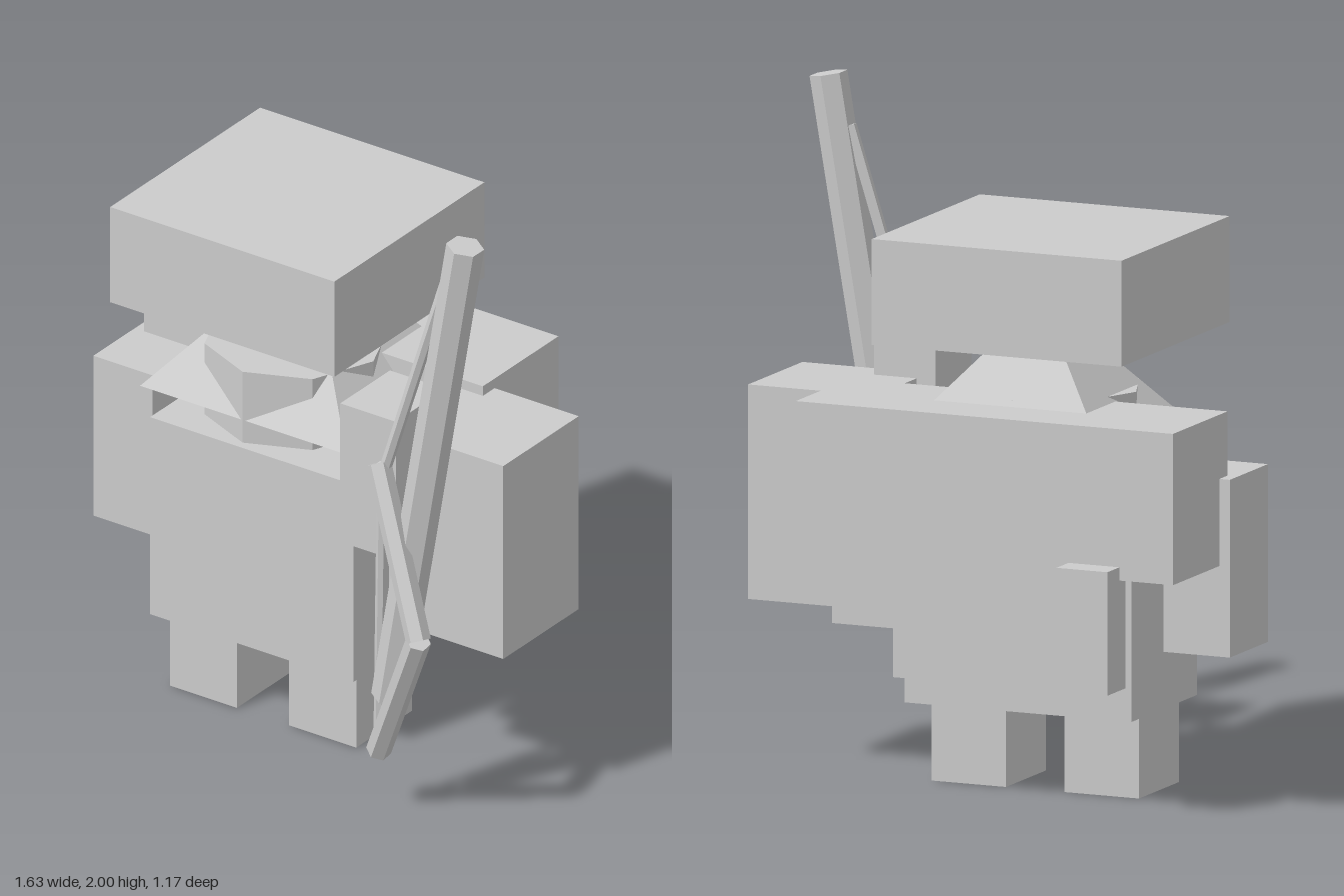
import * as THREE from 'three';

export function createModel() {
  const model = new THREE.Group();
  const stone = new THREE.MeshStandardMaterial({ color: 0xcccccc });
  stone.name = 'plain grey';

  const add = (name, geometry) => {
    const mesh = new THREE.Mesh(geometry, stone);
    mesh.name = name;
    model.add(mesh);
    return mesh;
  };

  // Block given by its lower and upper limits on each axis
  const block = (name, [x0, x1], [y0, y1], [z0, z1]) =>
    add(name, new THREE.BoxGeometry(x1 - x0, y1 - y0, z1 - z0))
      .position.set((x0 + x1) / 2, (y0 + y1) / 2, (z0 + z1) / 2);

  // Faceted rod between two points
  const rod = (name, from, to, radius, sides = 6) => {
    const a = new THREE.Vector3(...from), b = new THREE.Vector3(...to);
    const dir = b.clone().sub(a);
    const mesh = add(name, new THREE.CylinderGeometry(radius, radius, dir.length(), sides).toNonIndexed());
    mesh.geometry.computeVertexNormals();
    mesh.position.copy(a).add(b).multiplyScalar(0.5);
    mesh.quaternion.setFromUnitVectors(new THREE.Vector3(0, 1, 0), dir.normalize());
    return mesh;
  };

  const mid = -0.17; // centre line of the body

  // Body
  block('torso', [-0.54, 0.2], [0.255, 0.917], [-0.265, 0.2]);
  for (const [side, s] of [['left', 1], ['right', -1]]) {
    const leg = new THREE.Vector2(mid + s * 0.217, 0.122);
    block(side + 'Leg', [leg.x - leg.y, leg.x + leg.y], [0, 0.255], [-0.143, 0.143]);
    const armX = mid + s * 0.541;
    block(side + 'Arm', [armX - 0.108, armX + 0.108], [0.456, 0.993], [-0.173, 0.098]);
  }
  block('leftForearm', [0.275, 0.477], [0.825, 1.29], [0.12, 0.375]);
  block('shoulderShield', [0.337, 0.752], [0.507, 1.155], [-0.175, 0.212]);

  // Head with pyramid hood and block hat
  rod('head', [mid, 0.966, -0.03], [mid, 1.204, -0.03], 0.278, 8);
  const hood = add('hood', new THREE.ConeGeometry(Math.SQRT2, 0.435, 4).rotateY(Math.PI / 4)
    .scale(0.375, 1, 0.34).toNonIndexed());
  hood.geometry.computeVertexNormals();
  hood.position.set(mid, 1.04 + 0.2175, -0.095);
  block('hat', [-0.577, 0.238], [1.358, 1.678], [-0.416, 0.353]);

  // Packs on the back
  block('upperPack', [-0.785, 0.446], [0.73, 1.187], [-0.503, -0.115]);
  block('lowerPack', [-0.52, 0.18], [0.355, 0.76], [-0.392, -0.2]);
  block('pouch', [-0.61, -0.444], [0.55, 0.77], [-0.588, -0.465]);

  // Staff with bent limbs and cord
  const low = [0.45, 0.2, 0.425], elbow = [0.68, 0.69, 0.545], high = [0.45, 1.165, 0.425];
  rod('staff', [0.492, 0.395, 0.425], [0.765, 1.99, 0.425], 0.057);
  rod('lowerLimb', low, elbow, 0.038);
  rod('upperLimb', elbow, high, 0.038);
  rod('lowerCord', low, [0.46, 1.165, 0.42], 0.016);
  rod('upperCord', [0.475, 1.165, 0.42], [0.69, 1.84, 0.42], 0.018);

  return model;
}
